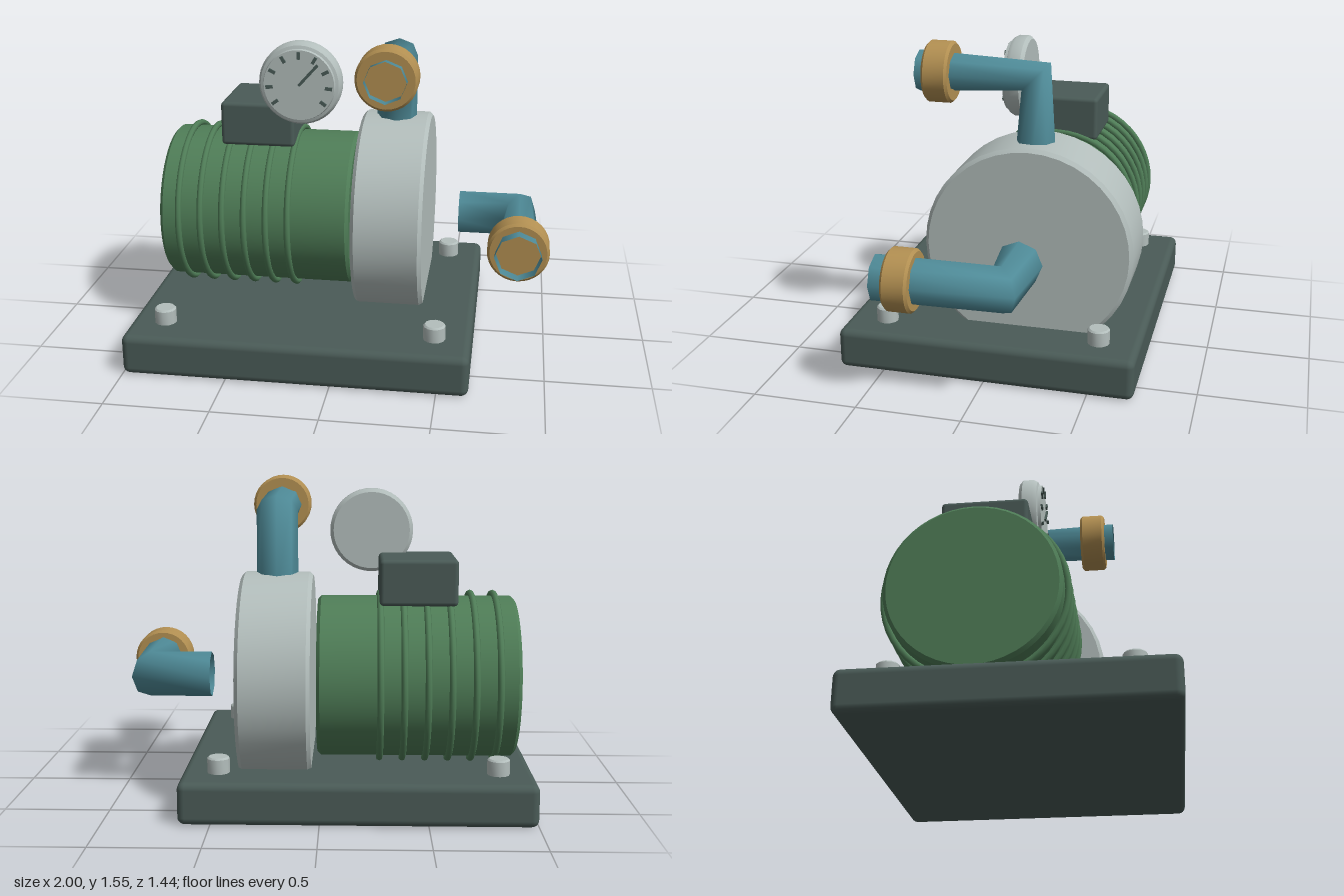
import * as THREE from 'three';
import { toCreasedNormals } from 'three/addons/utils/BufferGeometryUtils.js';
import { RoundedBoxGeometry } from 'three/addons/geometries/RoundedBoxGeometry.js';

const material = (name, color, side = THREE.FrontSide) => {
  const m = new THREE.MeshStandardMaterial({ color, side });
  m.name = name;
  return m;
};

export function createModel() {
  const model = new THREE.Group();
  model.name = 'pump';
  const slate = material('slate', 0x4a5b57);
  const green = material('motor green', 0x4f7d57);
  const grey = material('light grey', 0xb3bebc);
  const teal = material('pipe teal', 0x4f8b98, THREE.DoubleSide);
  const brass = material('brass', 0xb39052);

  const AXIS_Y = 0.59, AXIS_Z = -0.155;

  const add = (name, geometry, mat, x = 0, y = 0, z = 0, parent = model) => {
    const mesh = new THREE.Mesh(geometry, mat);
    mesh.name = name;
    mesh.position.set(x, y, z);
    parent.add(mesh);
    return mesh;
  };

  // Turned solid from [radius, height] pairs, bottom to top
  const turned = (profile, sides) => toCreasedNormals(
    new THREE.LatheGeometry(profile.map(([r, h]) => new THREE.Vector2(r, h)), sides), 0.6);

  // Solid disc with chamfered rims
  const disc = (r, length, bevel, sides) => {
    const h = length / 2;
    return turned([[0, -h], [r - bevel, -h], [r, -h + bevel], [r, h - bevel], [r - bevel, h], [0, h]], sides);
  };

  // Base plate and its four bolts
  add('basePlate', new RoundedBoxGeometry(1.65, 0.2, 1.44, 3, 0.035), slate, -0.175, 0.1, 0);
  for (const sx of [-1, 1]) for (const sz of [-1, 1]) {
    add('bolt', disc(0.053, 0.1, 0.008, 12), grey, -0.177 + sx * 0.653, 0.226, sz * 0.525);
  }

  // Motor drum with cooling rings
  add('motorBody', disc(0.392, 0.95, 0.016, 48).rotateZ(-Math.PI / 2), green, -0.455, AXIS_Y, AXIS_Z);
  for (let i = 0; i < 6; i++) {
    add('coolingRing', new THREE.TorusGeometry(0.405, 0.016, 8, 48).rotateY(Math.PI / 2),
      green, -0.83 + i * 0.11, AXIS_Y, AXIS_Z);
  }
  add('terminalBox', new RoundedBoxGeometry(0.37, 0.22, 0.41, 2, 0.02), slate, -0.46, 1.07, AXIS_Z);

  // Pump housing
  add('pumpHousing', disc(0.508, 0.345, 0.018, 40).rotateZ(-Math.PI / 2), grey, 0.217, AXIS_Y, AXIS_Z);

  // Mitred eight-sided elbow: start to corner, then forward to endZ
  const elbow = (r, start, corner, endZ) => {
    const forward = new THREE.Vector3(0, 0, 1);
    const dir = corner.clone().sub(start).normalize();
    const side = new THREE.Vector3().crossVectors(dir, forward);
    const end = corner.clone().setZ(endZ);
    const rings = [[start, dir], [corner, dir.clone().add(forward).normalize()], [end, forward]]
      .map(([centre, t]) => ({
        centre,
        basis: new THREE.Matrix4().makeBasis(side, t, new THREE.Vector3().crossVectors(side, t)),
      }));
    const geo = new THREE.CylinderGeometry(r, r, 1, 8, 2, true);
    const { position, normal } = geo.attributes;
    const v = new THREE.Vector3();
    for (let i = 0; i < position.count; i++) {
      v.fromBufferAttribute(position, i);
      const { centre, basis } = rings[Math.round((v.y + 0.5) * 2)];
      v.setY(0).applyMatrix4(basis);
      normal.setXYZ(i, v.x / r, v.y / r, v.z / r);
      v.add(centre);
      position.setXYZ(i, v.x, v.y, v.z);
    }
    return geo;
  };
  const pipes = [
    ['outlet', 0.1, [0.217, 1.0, AXIS_Z], [0.217, 1.4, AXIS_Z], 0.413],
    ['inlet', 0.112, [0.545, AXIS_Y, AXIS_Z], [0.85, AXIS_Y, AXIS_Z], 0.432],
  ];
  for (const [name, r, start, corner, endZ] of pipes) {
    add(name + 'Pipe', elbow(r, new THREE.Vector3(...start), new THREE.Vector3(...corner), endZ), teal);
    add(name + 'Collar', disc(0.147, 0.126, 0.012, 32).rotateX(Math.PI / 2), brass, corner[0], corner[1], 0.304);
  }

  // Pressure gauge with nine ticks and a needle
  const gauge = new THREE.Group();
  gauge.name = 'gauge';
  gauge.position.set(-0.24, 1.29, 0);
  model.add(gauge);
  add('gaugeCase', turned([[0, -0.022], [0.188, -0.022], [0.205, -0.005], [0.205, 0.045], [0.193, 0.065],
    [0.178, 0.07], [0.174, 0.085], [0, 0.085]], 40).rotateX(Math.PI / 2), grey, 0, 0, 0, gauge);
  const mark = (name, length, width, radius, degrees) => {
    const a = THREE.MathUtils.degToRad(degrees);
    add(name, new THREE.BoxGeometry(length, width, 0.009), slate,
      radius * Math.cos(a), radius * Math.sin(a), 0.0895, gauge).rotation.z = a;
  };
  for (let i = 0; i < 9; i++) mark('gaugeTick', 0.035, 0.016, 0.147, 216 - i * 31.5);
  mark('gaugeNeedle', 0.14, 0.014, 0.07, 48);

  return model;
}
